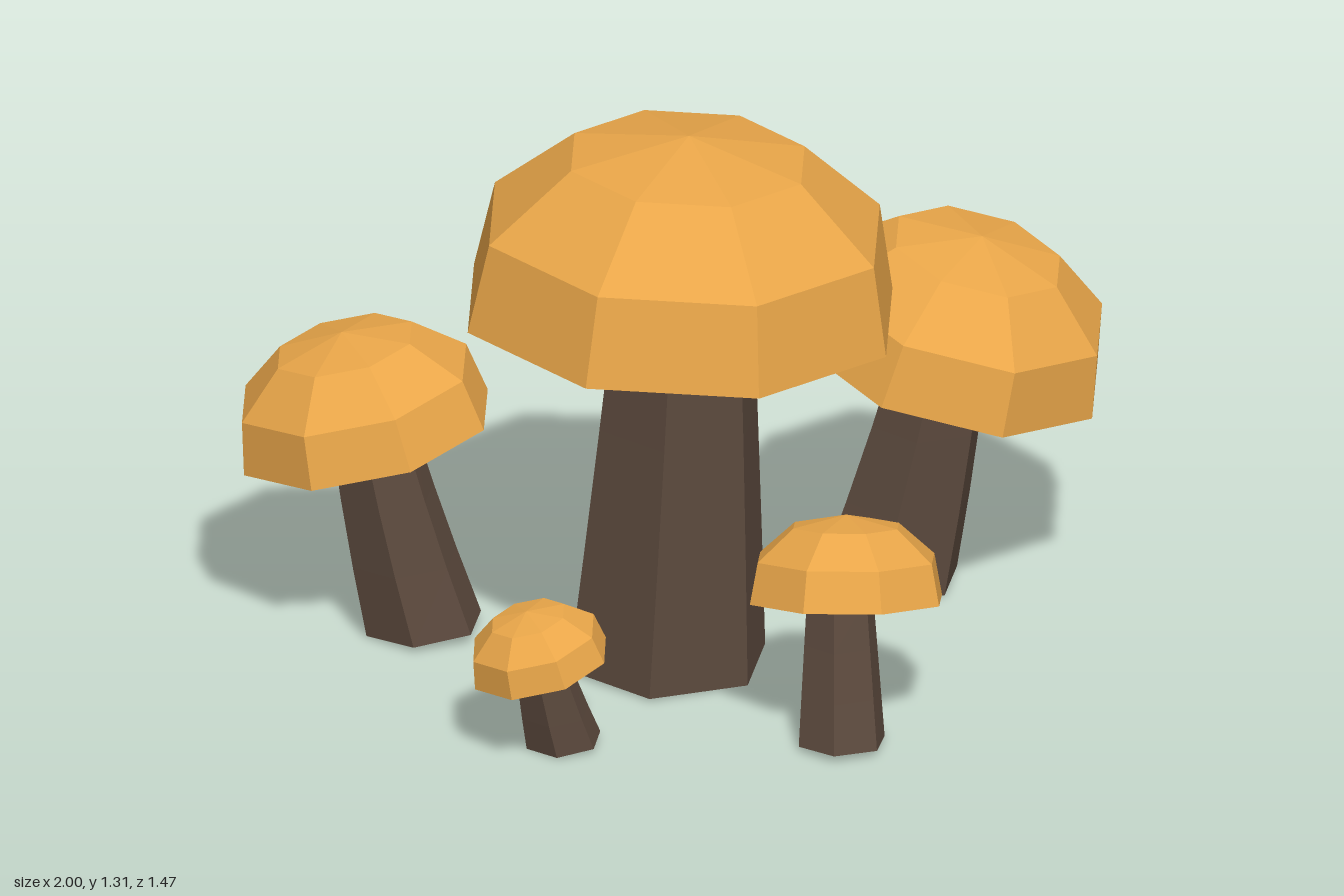
import * as THREE from 'three';

const capMaterial = new THREE.MeshStandardMaterial({ color: 0xe9a649, flatShading: true });
const stemMaterial = new THREE.MeshStandardMaterial({ color: 0x5a483c, flatShading: true });

// cap profile for a rim radius of 1: flat underside, rim band, shoulder, shallow peak
const capProfile = [[0, 0], [1, 0], [0.92, 0.41], [0.55, 0.73], [0, 0.84]]
  .map(([x, y]) => new THREE.Vector2(x, y));

// eight-sided cap leaning towards (lean x, lean z)
function makeCap(center, radius, lean) {
  const cap = new THREE.Mesh(new THREE.LatheGeometry(capProfile, 8), capMaterial);
  cap.name = 'cap';
  cap.scale.setScalar(radius);
  cap.position.set(...center);
  const axis = new THREE.Vector3(lean[0], 1, lean[1]).normalize();
  cap.quaternion.setFromUnitVectors(new THREE.Vector3(0, 1, 0), axis);
  return cap;
}

// six-sided tapering stem bending from its foot to its top, with a slightly tilted foot
function makeStem(foot, footRadius, top, topRadius) {
  const [dx, dz] = [top[0] - foot[0], top[2] - foot[1]];
  const height = top[1] + 0.02;
  const [sx, sz] = [dx / height, dz / height];
  const geometry = new THREE.CylinderGeometry(topRadius, footRadius, 1, 6, 3, false, Math.PI / 2);
  const p = geometry.attributes.position;
  for (let i = 0; i < p.count; i++) {
    const t = p.getY(i) + 0.5;
    const bend = t * (1.15 - 0.15 * t);
    const x = p.getX(i), z = p.getZ(i);
    const tilt = 0.35 * (1 - t) * (Math.hypot(sx, sz) * footRadius - sx * x - sz * z);
    p.setXYZ(i, foot[0] + dx * bend + x, t * height + tilt, foot[1] + dz * bend + z);
  }
  geometry.computeVertexNormals();
  const stem = new THREE.Mesh(geometry, stemMaterial);
  stem.name = 'stem';
  return stem;
}

// foot is [x, z]; rim is the centre of the cap's underside
const mushrooms = [
  { name: 'largeMushroom', foot: [-0.12, 0], footR: 0.24, topR: 0.17, top: [-0.08, 0.88, 0], rim: [-0.09, 0.875, 0.005], r: 0.52, lean: [0.05, 0] },
  { name: 'leftMushroom', foot: [0.51, -0.245], footR: 0.17, topR: 0.115, top: [0.63, 0.57, -0.2], rim: [0.635, 0.57, -0.18], r: 0.375, lean: [0.22, 0.14] },
  { name: 'rightMushroom', foot: [-0.585, -0.35], footR: 0.14, topR: 0.1, top: [-0.685, 0.475, -0.425], rim: [-0.695, 0.475, -0.435], r: 0.305, lean: [-0.2, -0.1] },
  { name: 'frontMushroom', foot: [0.09, 0.585], footR: 0.105, topR: 0.08, top: [0.115, 0.33, 0.505], rim: [0.13, 0.325, 0.505], r: 0.235, lean: [0.1, -0.26] },
  { name: 'tinyMushroom', foot: [-0.505, 0.355], footR: 0.09, topR: 0.062, top: [-0.565, 0.215, 0.365], rim: [-0.565, 0.215, 0.365], r: 0.165, lean: [-0.25, -0.03] },
];

export function createModel() {
  const model = new THREE.Group();
  model.name = 'mushroomCluster';
  for (const m of mushrooms) {
    const group = new THREE.Group();
    group.name = m.name;
    group.add(makeStem(m.foot, m.footR, m.top, m.topR), makeCap(m.rim, m.r, m.lean));
    model.add(group);
  }
  return model;
}
